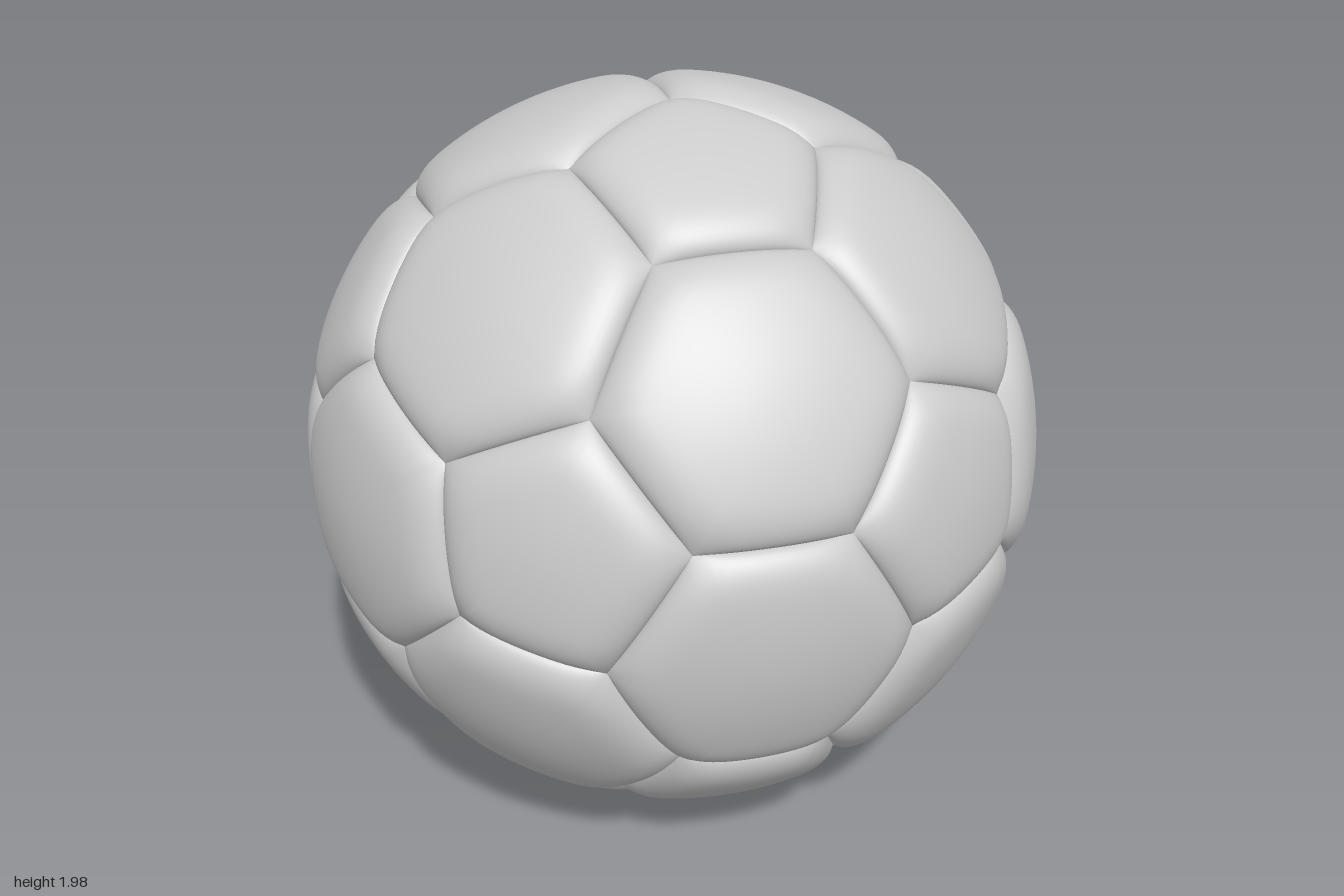
import * as THREE from 'three';

const SEAM_R = 0.955, OUTER_R = 1, FILLET = 0.13; // seam depth, ball radius, rounded border (radians)
const RINGS = 16, STEPS = 12;

// Twelve icosahedron directions, turned so that a panel corner points straight up
function icosahedronPoints() {
  const a = THREE.MathUtils.degToRad(11.64), b = THREE.MathUtils.degToRad(34.31);
  const m = new THREE.Vector3(Math.cos(a) * Math.sin(b), Math.sin(a), Math.cos(a) * Math.cos(b));
  const h = new THREE.Vector3(Math.cos(b), 0, -Math.sin(b));
  const turn = new THREE.Matrix4().makeBasis(h, m.clone().cross(h), m);
  const g = (1 + Math.sqrt(5)) / 2, points = [];
  for (const s of [1, -1]) for (const t of [g, -g]) {
    points.push(new THREE.Vector3(s, 0, t), new THREE.Vector3(0, t, s), new THREE.Vector3(t, s, 0));
  }
  return points.map((p) => p.applyMatrix4(turn).normalize());
}

// The count nearest corners of a panel, counter-clockwise seen from outside
function cornersAround(center, all, count) {
  const near = [...all].sort((p, q) => q.dot(center) - p.dot(center)).slice(0, count);
  const e1 = near[0].clone().addScaledVector(center, -near[0].dot(center)).normalize();
  const e2 = center.clone().cross(e1);
  const angle = (p) => Math.atan2(p.dot(e2), p.dot(e1));
  return near.sort((p, q) => angle(p) - angle(q));
}

// Rounded rise from the seam to the full radius
function rise(d) {
  const t = THREE.MathUtils.clamp(d / FILLET, 0, 1);
  return Math.pow(1 - Math.pow(1 - t, 2.5), 0.6);
}

// One padded panel: rings of points from its centre out to the seams
function panelGeometry(center, corners) {
  const n = corners.length, around = n * STEPS;
  const sides = corners.map((c, i) => c.clone().cross(corners[(i + 1) % n]).normalize());
  const positions = [], index = [];
  const addPoint = (dir, onSeam) => {
    dir.normalize();
    let f = onSeam ? 0 : 1;
    for (const side of sides) f *= rise(Math.asin(dir.dot(side)));
    const r = SEAM_R + (OUTER_R - SEAM_R) * f;
    positions.push(dir.x * r, dir.y * r, dir.z * r);
  };
  addPoint(center.clone(), false);
  for (let k = 1; k <= RINGS; k++) {
    const t = 1 - (1 - k / RINGS) ** 2; // rings crowd towards the seam
    for (let j = 0; j < around; j++) {
      const i = Math.floor(j / STEPS);
      const edge = corners[i].clone().lerp(corners[(i + 1) % n], (j % STEPS) / STEPS).normalize();
      addPoint(center.clone().lerp(edge, t), k === RINGS);
    }
  }
  for (let j = 0; j < around; j++) {
    const next = (j + 1) % around;
    index.push(0, 1 + j, 1 + next);
    for (let k = 0; k < RINGS - 1; k++) {
      const a = 1 + k * around, b = a + around;
      index.push(a + j, b + j, b + next, a + j, b + next, a + next);
    }
  }
  const geometry = new THREE.BufferGeometry();
  geometry.setAttribute('position', new THREE.Float32BufferAttribute(positions, 3));
  geometry.setIndex(index);
  geometry.computeVertexNormals();
  return geometry;
}

export function createModel() {
  const material = new THREE.MeshStandardMaterial({ color: 0xcccccc });
  const ball = new THREE.Group();
  ball.name = 'ball';
  const pentagons = icosahedronPoints(), hexagons = [], corners = [];
  const adjacent = (p, q) => p !== q && p.dot(q) > 0.4;

  // Panel corners lie a third of the way along each icosahedron edge
  for (const p of pentagons) for (const q of pentagons) {
    if (adjacent(p, q)) corners.push(p.clone().multiplyScalar(2).add(q).normalize());
  }
  // Hexagon centres lie on the icosahedron faces
  for (let i = 0; i < 12; i++) for (let j = i + 1; j < 12; j++) for (let k = j + 1; k < 12; k++) {
    const [p, q, r] = [pentagons[i], pentagons[j], pentagons[k]];
    if (adjacent(p, q) && adjacent(q, r) && adjacent(p, r)) {
      hexagons.push(p.clone().add(q).add(r).normalize());
    }
  }

  const addPanels = (centers, count, name) => centers.forEach((center, i) => {
    const mesh = new THREE.Mesh(panelGeometry(center, cornersAround(center, corners, count)), material);
    mesh.name = name + (i + 1);
    ball.add(mesh);
  });
  addPanels(pentagons, 5, 'pentagonPanel');
  addPanels(hexagons, 6, 'hexagonPanel');

  ball.position.y = 1;
  const model = new THREE.Group();
  model.name = 'football';
  model.add(ball);
  return model;
}
